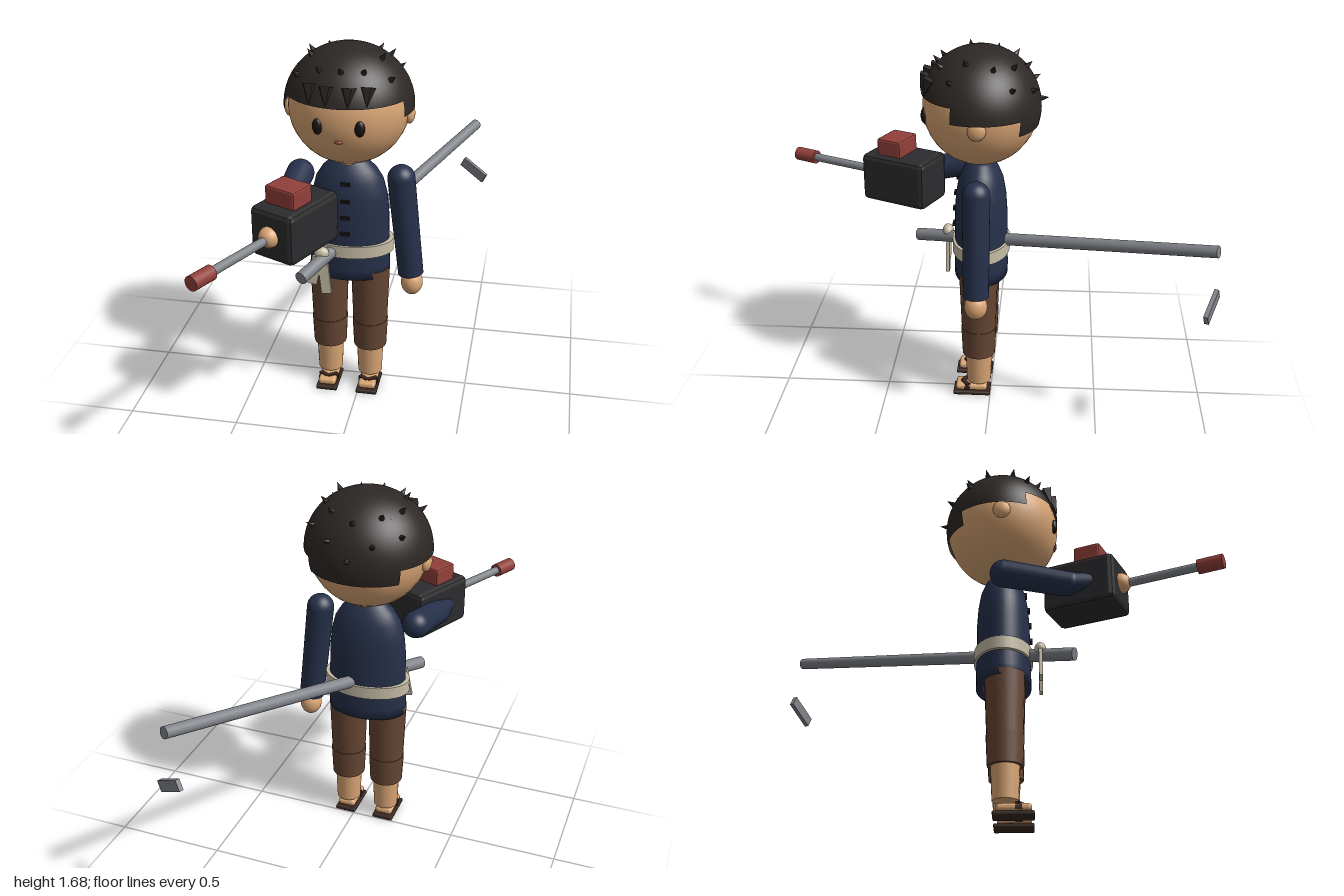
import * as THREE from 'three';
import { RoundedBoxGeometry } from 'three/addons/geometries/RoundedBoxGeometry.js';

const CX = -0.052, CZ = 0.048; // body axis
const V = (x, y, z) => new THREE.Vector3(x, y, z);
const mat = (color, extra = {}) => new THREE.MeshStandardMaterial({ color, ...extra });

export function createModel() {
  const root = new THREE.Group();
  root.name = 'figure';
  const skin = mat(0xd9a574), navy = mat(0x26304a), brown = mat(0x664633), cloth = mat(0xc6bda6);
  const hairMat = mat(0x2d2825, { side: THREE.DoubleSide }), spikeMat = mat(0x2d2825, { flatShading: true });
  const black = mat(0x19130f), sole = mat(0x38271f), steel = mat(0x808389);
  const caseMat = mat(0x2c2c2e, { flatShading: true }), red = mat(0x92403a, { flatShading: true });

  const add = (name, geo, material, x = 0, y = 0, z = 0, parent = root) => {
    const m = new THREE.Mesh(geo, material);
    m.name = name;
    m.position.set(x, y, z);
    parent.add(m);
    return m;
  };
  const ball = (name, material, x, y, z, rx, ry = rx, rz = rx) => {
    const m = add(name, new THREE.SphereGeometry(1, 32, 20), material, x, y, z);
    m.scale.set(rx, ry, rz);
    return m;
  };
  // Tapered cylinder from a to b
  const rod = (name, material, a, b, ra, rb = ra, sides = 24) => {
    const m = add(name, new THREE.CylinderGeometry(rb, ra, a.distanceTo(b), sides), material);
    m.position.copy(a).lerp(b, 0.5);
    m.quaternion.setFromUnitVectors(V(0, 1, 0), b.clone().sub(a).normalize());
    return m;
  };
  // Limb segment with rounded ends
  const limb = (name, material, a, b, ra, rb) => {
    rod(name, material, a, b, ra, rb);
    ball(name + 'Start', material, a.x, a.y, a.z, ra);
    ball(name + 'End', material, b.x, b.y, b.z, rb);
  };

  // Head and face
  const HY = 1.417;
  ball('head', skin, CX, HY, CZ, 0.265, 0.262, 0.257);
  for (const s of [-1, 1]) {
    ball('ear', skin, CX + s * 0.262, 1.385, CZ, 0.024, 0.042, 0.04);
    ball('eye', black, CX + s * 0.089, 1.394, CZ + 0.239, 0.022, 0.035, 0.016);
  }
  ball('mouth', mat(0x8a4a38), CX, 1.33, CZ + 0.243, 0.018, 0.008, 0.01);

  // Hair cap: fringe, sides and nape each reach a different height
  const hair = new THREE.Group();
  hair.name = 'hair';
  hair.position.set(CX, HY, CZ);
  root.add(hair);
  const HR = V(0.283, 0.268, 0.267);
  const rad = THREE.MathUtils.degToRad;
  const capPart = (name, from, to, bottom) => {
    const g = new THREE.SphereGeometry(1, 20, 20, rad(from + 90), rad(to - from), 0, Math.acos((bottom - HY) / HR.y));
    add(name, g, hairMat, 0, 0, 0, hair).scale.copy(HR);
  };
  capPart('hairFront', -65, 65, 1.48);
  capPart('hairSide', 65, 133, 1.412);
  capPart('hairSide', 227, 295, 1.412);
  capPart('hairBack', 133, 227, 1.343);

  // Short spikes: [angle from front, elevation], mirrored
  const onHair = (az, el) => {
    const a = rad(az), e = rad(el);
    return V(Math.sin(a) * Math.cos(e), Math.sin(e), Math.cos(a) * Math.cos(e));
  };
  const spikes = [[0, 47], [28, 46], [58, 35], [70, 56], [112, 50], [128, 28], [145, 48], [158, 22], [180, 8], [180, 42]];
  for (const [az, el] of spikes) for (const s of az % 180 ? [-1, 1] : [1]) {
    const d = onHair(az * s, el);
    const m = add('hairSpike', new THREE.ConeGeometry(0.017, 0.045, 6), spikeMat, 0, 0, 0, hair);
    m.position.copy(d).multiply(HR).addScaledVector(d, 0.012);
    m.quaternion.setFromUnitVectors(V(0, 1, 0), d);
  }
  // Fringe tufts pointing down
  for (const x of [-0.127, -0.053, 0.041, 0.117]) {
    const m = add('fringeTuft', new THREE.ConeGeometry(0.034, 0.085, 5), spikeMat, x, 0.108, 0, hair);
    m.position.z = HR.z * Math.sqrt(1 - (x / HR.x) ** 2 - (0.108 / HR.y) ** 2) + 0.004;
    m.rotation.x = Math.PI - 0.35;
  }

  // Jacket, belt and hips
  const profile = [[0, 0.61], [0.184, 0.61], [0.184, 0.66], [0.18, 0.8], [0.178, 0.92], [0.17, 1.0],
    [0.152, 1.07], [0.122, 1.12], [0.085, 1.155], [0.07, 1.165], [0, 1.17]].map(p => new THREE.Vector2(...p));
  add('jacket', new THREE.LatheGeometry(profile, 40), navy, CX, 0, CZ).scale.z = 0.67;
  add('belt', new THREE.CylinderGeometry(0.2, 0.2, 0.058, 40), cloth, CX, 0.755, CZ).scale.z = 0.66;
  rod('neck', skin, V(CX, 1.12, CZ), V(CX, 1.2, CZ), 0.06);
  ball('hips', brown, CX, 0.645, CZ, 0.17, 0.065, 0.11);
  for (let i = 0; i < 4; i++)
    add('toggle', new THREE.BoxGeometry(0.04, 0.014, 0.018), black, CX, 0.845 + i * 0.077, CZ + [0.122, 0.12, 0.113, 0.1][i]);

  // Belt knot and hanging tails
  ball('beltKnot', cloth, -0.15, 0.762, 0.212, 0.034, 0.03, 0.026);
  for (const [x, y, len, tilt] of [[-0.182, 0.675, 0.14, -0.2], [-0.138, 0.655, 0.19, 0.1]])
    add('beltTail', new THREE.BoxGeometry(0.046, len, 0.016), cloth, x, y, 0.213).rotation.z = tilt;

  // Legs and sandals
  for (const s of [-1, 1]) {
    const x = CX + s * 0.096, z = 0.055;
    rod('thigh', brown, V(x, 0.355, z), V(x, 0.64, z), 0.08, 0.09);
    rod('trouserCuff', brown, V(x, 0.22, z), V(x, 0.358, z), 0.077, 0.083);
    rod('shin', skin, V(x, 0.07, z), V(x, 0.25, z), 0.057, 0.064);
    add('foot', new RoundedBoxGeometry(0.084, 0.034, 0.15, 3, 0.015), skin, x, 0.037, 0.09);
    add('sandalSole', new RoundedBoxGeometry(0.1, 0.019, 0.176, 2, 0.006), sole, x, 0.0095, 0.088);
    for (const t of [-1, 1])
      add('sandalStrap', new THREE.BoxGeometry(0.05, 0.012, 0.022), sole, x + t * 0.02, 0.052, 0.118).rotation.y = t * 0.6;
    add('sandalBand', new THREE.BoxGeometry(0.09, 0.016, 0.03), sole, x, 0.036, 0.11);
  }

  // Left arm hangs, right arm reaches forward into the device
  limb('leftUpperArm', navy, V(0.18, 1.083, 0.053), V(0.205, 0.85, 0.053), 0.062, 0.06);
  rod('leftForearm', navy, V(0.231, 0.615, 0.053), V(0.205, 0.85, 0.053), 0.058, 0.06);
  ball('leftHand', skin, 0.237, 0.567, 0.053, 0.05, 0.06, 0.052);
  limb('rightUpperArm', navy, V(-0.275, 1.075, 0.055), V(-0.293, 1.005, 0.35), 0.062, 0.056);
  rod('rightForearm', navy, V(-0.293, 1.005, 0.35), V(-0.285, 1.01, 0.53), 0.054, 0.05);
  ball('rightHand', skin, -0.286, 1.01, 0.568, 0.046);

  // Boxy device with a forward rod
  const yaw = rad(-24.5);
  add('deviceCase', new RoundedBoxGeometry(0.218, 0.224, 0.33, 1, 0.022), caseMat, -0.212, 1.011, 0.421).rotation.y = yaw;
  add('deviceTopBlock', new RoundedBoxGeometry(0.152, 0.1, 0.124, 1, 0.01), red, -0.23, 1.15, 0.453).rotation.y = yaw;
  rod('deviceRod', steel, V(-0.25, 1.008, 0.5), V(-0.44, 1.005, 0.9), 0.019);
  rod('deviceRodTip', mat(0x92403a), V(-0.433, 1.005, 0.885), V(-0.481, 1.005, 0.985), 0.032);

  // Long tube slung through the belt, and the loose bar below its end
  rod('slungTube', steel, V(-0.212, 0.708, 0.36), V(0.427, 0.965, -0.965), 0.029, 0.026);
  const bar = add('looseBar', new THREE.BoxGeometry(0.15, 0.05, 0.02), steel, 0.427, 0.708, -0.957);
  const bx = V(0.13, -0.075, 0.06).normalize(), bz = V(-0.42, 0, 0.91).normalize();
  const by = bz.clone().cross(bx).normalize();
  bar.quaternion.setFromRotationMatrix(new THREE.Matrix4().makeBasis(bx, by, bx.clone().cross(by)));

  return root;
}
